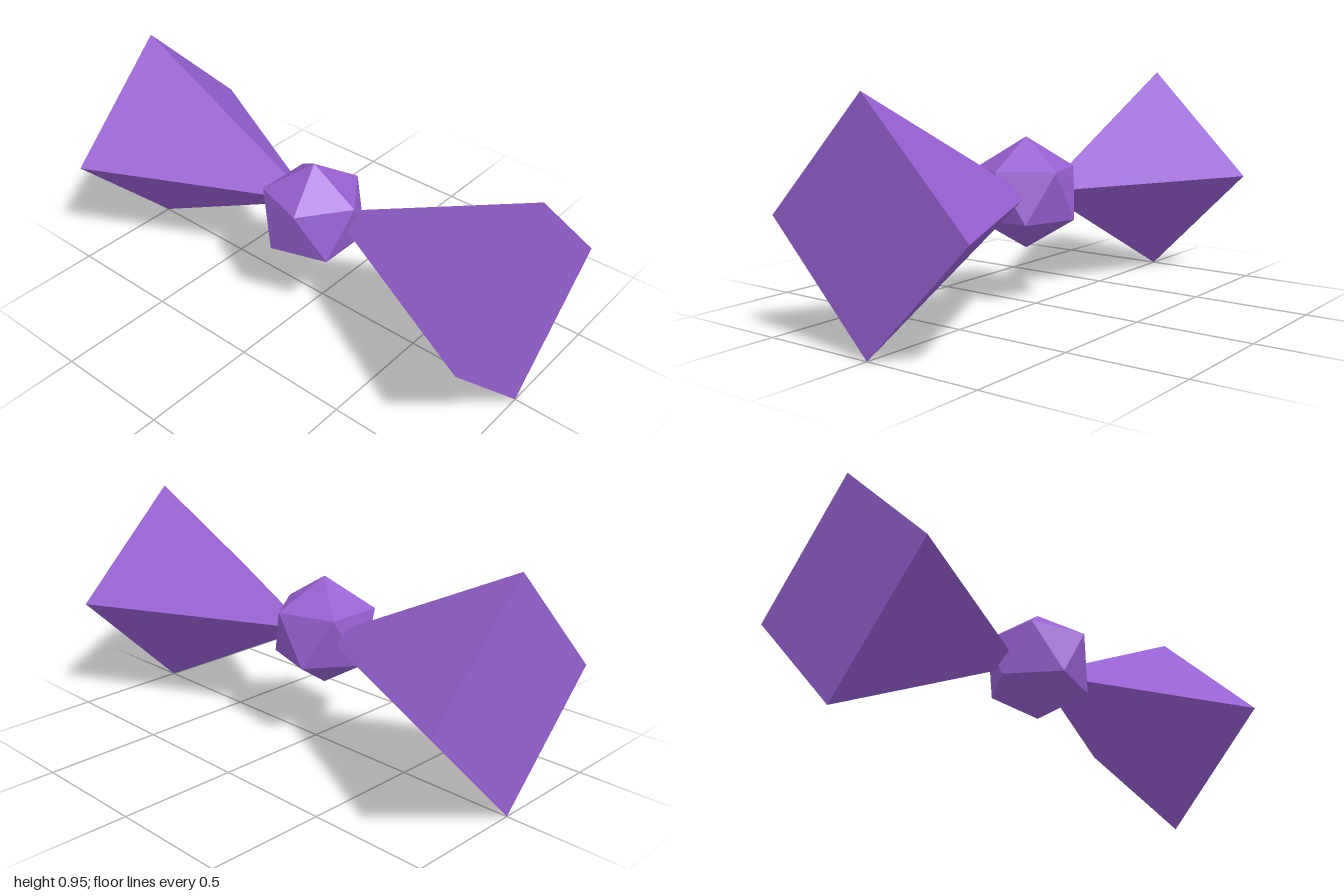
import * as THREE from 'three';

export function createModel() {
  const model = new THREE.Group();
  const purple = new THREE.MeshStandardMaterial({ name: 'purple', color: 0x9660d1, flatShading: true });
  const R = 0.473; // half height of a wing
  const midY = R;

  // Two square pyramids lying on their sides, tips towards the middle
  for (const side of [1, -1]) {
    const geometry = new THREE.ConeGeometry(R, 2 * R, 4).toNonIndexed();
    geometry.computeVertexNormals();
    const wing = new THREE.Mesh(geometry, purple);
    wing.name = side > 0 ? 'leftWing' : 'rightWing';
    wing.rotation.z = side * Math.PI / 2;
    wing.position.set(side * (1 - R), midY, 0);
    model.add(wing);
  }

  // Faceted knot, turned so that one corner points straight up, set slightly forward
  const knot = new THREE.Mesh(new THREE.IcosahedronGeometry(R / 2, 0), purple);
  knot.name = 'knot';
  const golden = (1 + Math.sqrt(5)) / 2;
  knot.rotation.z = -Math.atan(1 / golden);
  knot.position.set(0, midY, 0.05);
  model.add(knot);

  return model;
}
